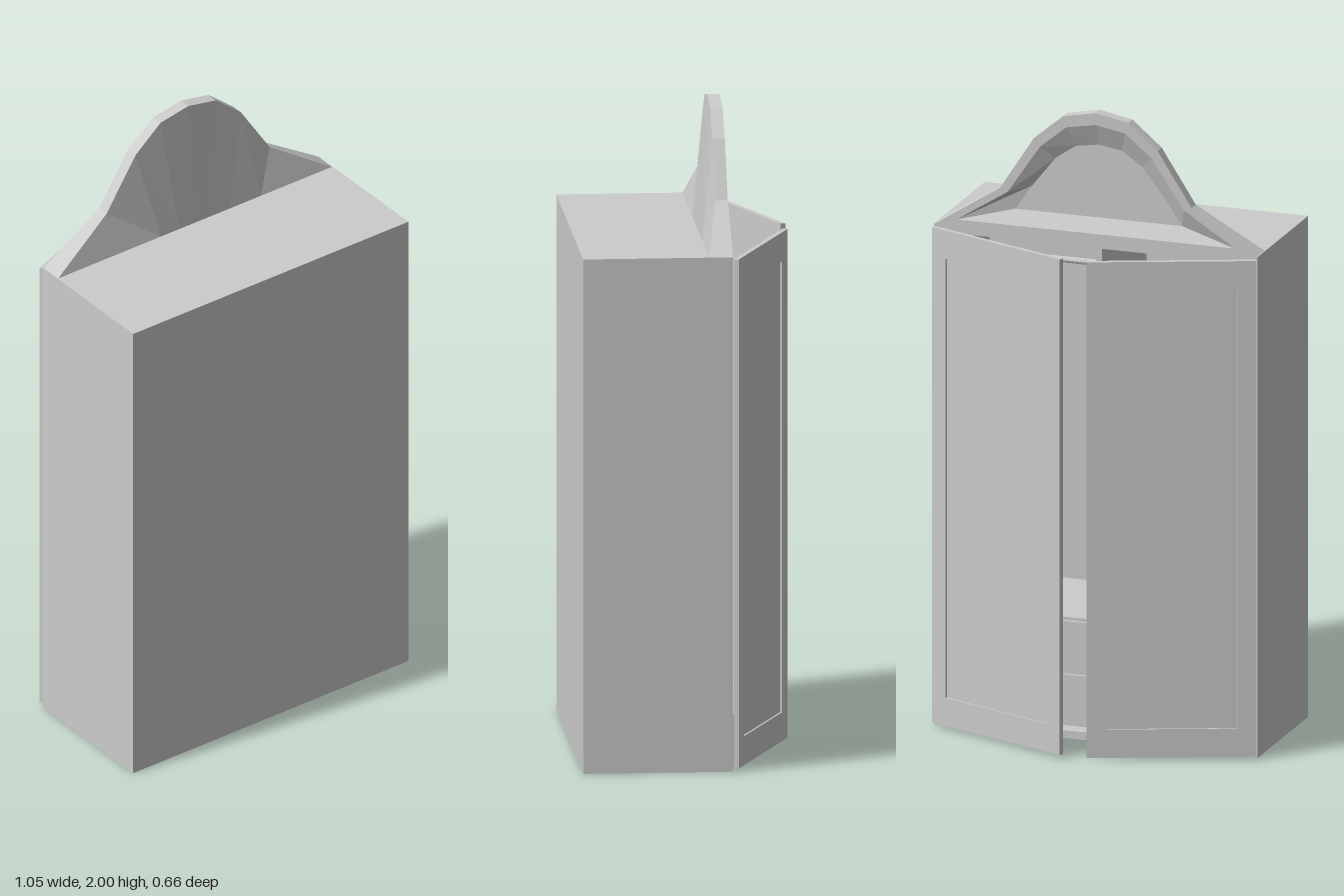
import * as THREE from 'three';

const material = new THREE.MeshStandardMaterial({ color: 0xcccccc, flatShading: true, side: THREE.DoubleSide });

const W = 0.523, H = 1.595, BACK = -0.128, FRONT = 0.33, T = 0.025;

// Box given by its lower and upper corners
function slab(parent, name, x0, x1, y0, y1, z0, z1) {
  const mesh = new THREE.Mesh(new THREE.BoxGeometry(x1 - x0, y1 - y0, z1 - z0), material);
  mesh.position.set((x0 + x1) / 2, (y0 + y1) / 2, (z0 + z1) / 2);
  mesh.name = name;
  parent.add(mesh);
  return mesh;
}

// Hollow case, open toward -z
function createCase() {
  const g = new THREE.Group();
  g.name = 'case';
  slab(g, 'floor', -W, W, 0, T, BACK, FRONT);
  slab(g, 'roof', -W, W, H - T, H, BACK, FRONT);
  slab(g, 'rearWall', -W, W, T, H - T, FRONT - T, FRONT);
  for (const s of [-1, 1]) {
    const x = s * (W - T / 2);
    slab(g, 'sideWall', x - T / 2, x + T / 2, T, H - T, BACK, FRONT - T);
  }
  return g;
}

// Divider, shelves on one side, drawers and a hanging rail on the other
function createInterior() {
  const g = new THREE.Group();
  g.name = 'interior';
  const z0 = BACK + 0.03, z1 = FRONT - T, inner = W - T;
  slab(g, 'divider', -0.01, 0.01, T, H - T, z0, z1);
  for (const y of [0.3, 0.65, 1.15]) slab(g, 'shelf', -inner, -0.01, y - 0.01, y + 0.01, z0, z1);
  slab(g, 'drawerChest', 0.01, inner, T, 0.37, z0 + 0.02, z1);
  for (const y of [0.04, 0.21]) slab(g, 'drawerFront', 0.03, inner - 0.02, y, y + 0.15, z0 + 0.01, z0 + 0.02);
  const rail = new THREE.Mesh(new THREE.CylinderGeometry(0.01, 0.01, inner - 0.01, 8), material);
  rail.rotation.z = Math.PI / 2;
  rail.position.set((inner + 0.01) / 2, 1.45, 0.1);
  rail.name = 'hangingRail';
  g.add(rail);
  return g;
}

function rectangle(PathType, x0, x1, y0, y1) {
  return new PathType([[x0, y0], [x1, y0], [x1, y1], [x0, y1]].map(p => new THREE.Vector2(...p)));
}

// Ajar door with a sunken panel, hinged on side s
function createDoor(s) {
  const door = new THREE.Group();
  door.name = s > 0 ? 'leftDoor' : 'rightDoor';
  const width = 0.515, y0 = 0.01, y1 = 1.588, thick = 0.016;
  const span = (a, b) => s > 0 ? [-b, -a] : [a, b];
  const outer = span(0, width), hole = span(0.055, width - 0.06);
  const shape = rectangle(THREE.Shape, ...outer, y0, y1);
  shape.holes.push(rectangle(THREE.Path, ...hole, y0 + 0.09, y1 - 0.09));
  const frame = new THREE.Mesh(new THREE.ExtrudeGeometry(shape, { depth: thick, bevelEnabled: false }), material);
  frame.position.z = -thick;
  frame.name = 'doorFrame';
  door.add(frame);
  slab(door, 'doorPanel', ...hole, y0 + 0.09, y1 - 0.09, -thick + 0.006, -0.002);
  door.position.set(s * 0.518, 0, -0.13);
  door.rotation.y = -s * 0.372;
  return door;
}

// Mirrors a half profile of [x, y, z] points from +x over the top to -x
function mirrored(half) {
  return [...half, ...half.slice(0, -1).reverse().map(([x, y, z]) => [-x, y, z])];
}

// Arched crest: leaning face, flat rim and a sunken, bevelled recess
function createCrest() {
  const outline = [[0.52, H], [0.31, 1.73], [0.2, 1.9], [0.105, 1.98], [0, 2]];
  const base = [0.52, 0.25, 0.13, 0.06, 0].map(x => [x, H, -0.055]);
  const rim = outline.map(([x, y], i) => [x, y, i ? -0.09 : -0.055]);
  const back = outline.map(([x, y]) => [x, y, BACK]);
  const lip = [[0.45, 1.615], [0.285, 1.72], [0.18, 1.875], [0.095, 1.945], [0, 1.962]].map(p => [...p, BACK]);
  const recess = [[0.27, 1.66], [0.215, 1.74], [0.14, 1.835], [0.075, 1.88], [0, 1.892]].map(p => [...p, -0.1]);
  const centre = recess.map(() => [0, 1.72, -0.1]);
  const rings = [base, rim, back, lip, recess, centre].map(mirrored);
  const positions = [];
  const tri = (...pts) => {
    const [a, b, c] = pts.map(p => new THREE.Vector3(...p));
    if (b.sub(a).cross(c.sub(a)).length() > 1e-7) positions.push(...pts.flat());
  };
  for (let r = 0; r < rings.length - 1; r++) {
    const A = rings[r], B = rings[r + 1], n = A.length;
    // Rings on the recessed side also close along the bottom
    for (let i = 0; i < (r >= 2 ? n : n - 1); i++) {
      const j = (i + 1) % n;
      tri(A[i], B[i], B[j]);
      tri(A[i], B[j], A[j]);
    }
  }
  const geometry = new THREE.BufferGeometry();
  geometry.setAttribute('position', new THREE.Float32BufferAttribute(positions, 3));
  geometry.computeVertexNormals();
  const crest = new THREE.Mesh(geometry, material);
  crest.name = 'crest';
  return crest;
}

export function createModel() {
  const model = new THREE.Group();
  model.name = 'wardrobe';
  model.add(createCase(), createInterior(), createDoor(1), createDoor(-1), createCrest());
  return model;
}
